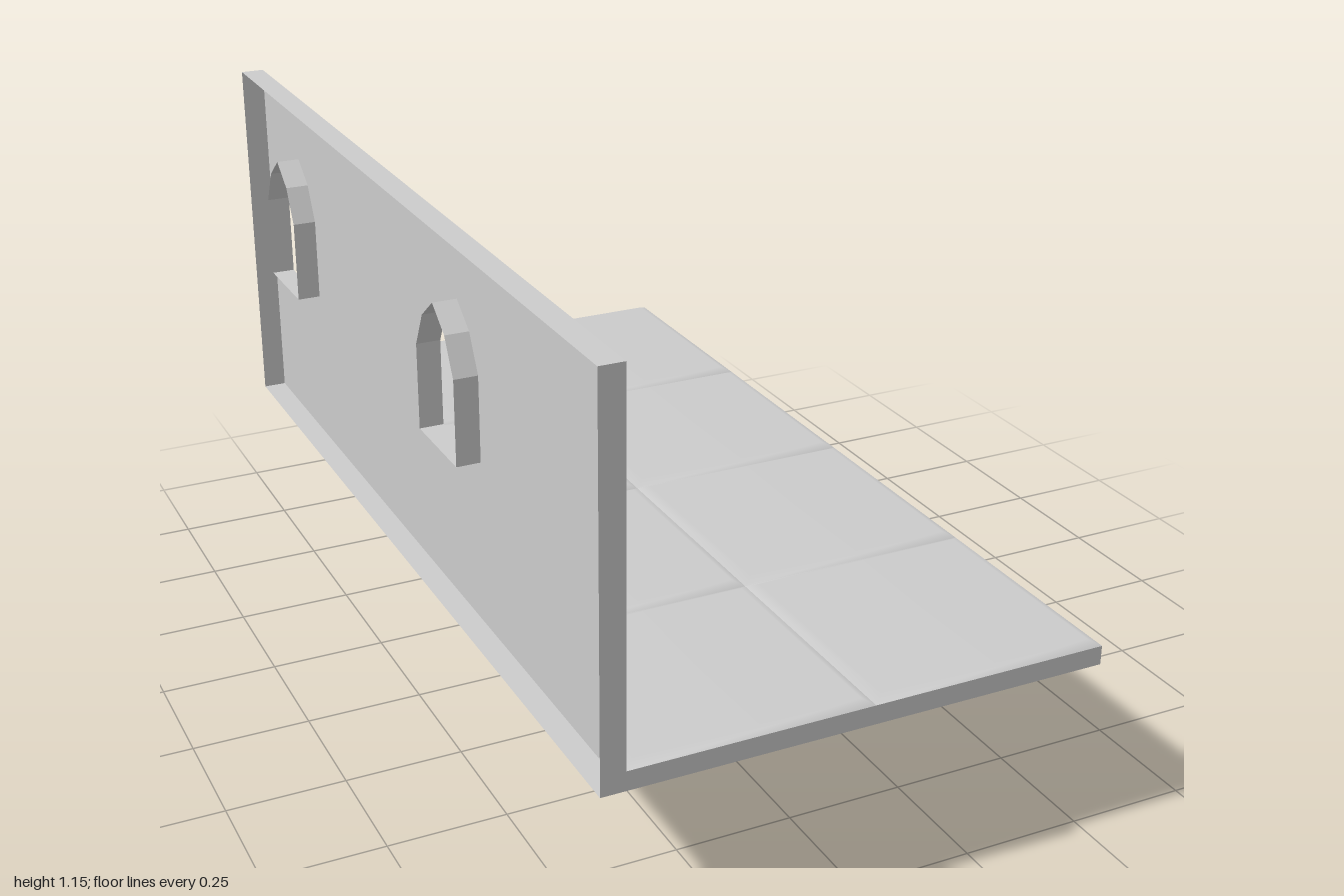
import * as THREE from 'three';

const TILE = 0.5, WALL_X = -0.475, THICK = 0.05, BASE = 0.35, SLAB_TOP = 0.39, TOP = 1.15;

// Strip of flat quads running along a closed 2D outline, from z = -depth to z = 0
function ribbon(points, depth) {
  const pos = [];
  points.forEach(([ax, ay], i) => {
    const [bx, by] = points[(i + 1) % points.length];
    pos.push(ax, ay, -depth, bx, by, -depth, bx, by, 0);
    pos.push(ax, ay, -depth, bx, by, 0, ax, ay, 0);
  });
  const g = new THREE.BufferGeometry();
  g.setAttribute('position', new THREE.Float32BufferAttribute(pos, 3));
  g.computeVertexNormals();
  return g;
}

const toVectors = (pts) => pts.map(([x, y]) => new THREE.Vector2(x, y));

// Pointed-arch window outline, listed clockwise
const windowOutline = (c) => [
  [-0.1, 0.7], [-0.1, 0.88], [-0.06, 0.955], [0, 1.0], [0.06, 0.955], [0.1, 0.88], [0.1, 0.7],
].map(([x, y]) => [c + x, y]);

const rectangle = (y0, y1) => [[-1, y0], [1, y0], [1, y1], [-1, y1]];

// Floor tile with a bevelled rim and soft normals
function tileGeometry() {
  const o = TILE / 2, n = o - 0.02, pos = [], idx = [];
  for (const [r, y] of [[o, 0], [n, 0.01]]) {
    for (const [sx, sz] of [[-1, 1], [1, 1], [1, -1], [-1, -1]]) pos.push(sx * r, y, sz * r);
  }
  for (let i = 0; i < 4; i++) {
    const j = (i + 1) % 4;
    idx.push(i, j, 4 + j, i, 4 + j, 4 + i);
  }
  idx.push(4, 5, 6, 4, 6, 7);
  const g = new THREE.BufferGeometry();
  g.setAttribute('position', new THREE.Float32BufferAttribute(pos, 3));
  g.setIndex(idx);
  g.computeVertexNormals();
  return g;
}

export function createModel() {
  const stone = new THREE.MeshStandardMaterial({ color: 0xcccccc, side: THREE.DoubleSide });
  stone.name = 'greyStone';
  const model = new THREE.Group();
  model.name = 'walkway';
  const add = (geometry, name, parent = model) => {
    const mesh = new THREE.Mesh(geometry, stone);
    mesh.name = name;
    parent.add(mesh);
    return mesh;
  };

  // Wall: inner panel with window holes and rims, open on its outer side
  const wall = new THREE.Group();
  wall.name = 'wall';
  wall.rotation.y = Math.PI / 2;
  wall.position.x = WALL_X;
  model.add(wall);
  const windows = [-0.25, 0.75].map(windowOutline);
  const panel = new THREE.Shape(toVectors(rectangle(SLAB_TOP, TOP)));
  windows.forEach((w) => panel.holes.push(new THREE.Path(toVectors(w))));
  add(new THREE.ShapeGeometry(panel), 'wallPanel', wall);
  add(ribbon(rectangle(BASE, TOP), THICK), 'wallRim', wall);
  windows.forEach((w) => add(ribbon(w, THICK), 'windowReveal', wall));

  // Floor slab
  const slab = add(new THREE.BoxGeometry(1, SLAB_TOP - BASE, 2), 'floorSlab');
  slab.position.set(0.025, (BASE + SLAB_TOP) / 2, 0);

  // Floor tiles, two across and four along
  const tile = tileGeometry();
  for (let i = 0; i < 2; i++) {
    for (let k = 0; k < 4; k++) {
      add(tile, 'floorTile').position.set(WALL_X + TILE * (i + 0.5), SLAB_TOP, -1 + TILE * (k + 0.5));
    }
  }

  // Thin triangular support under the floor, leaning slightly outward
  const frame = new THREE.Shape(toVectors([
    [-0.5, 0], [0.5, 0], [0.5, 0.04], [0.055, BASE], [-0.055, BASE], [-0.5, 0.04],
  ]));
  frame.holes.push(new THREE.Path(toVectors([[-0.445, 0.04], [0, 0.349], [0.445, 0.04]])));
  const support = new THREE.ShapeGeometry(frame);
  support.rotateY(Math.PI / 2);
  const p = support.attributes.position;
  for (let i = 0; i < p.count; i++) p.setX(i, 0.05 - 0.025 * p.getY(i) / BASE);
  support.computeVertexNormals();
  add(support, 'supportFrame');

  return model;
}
